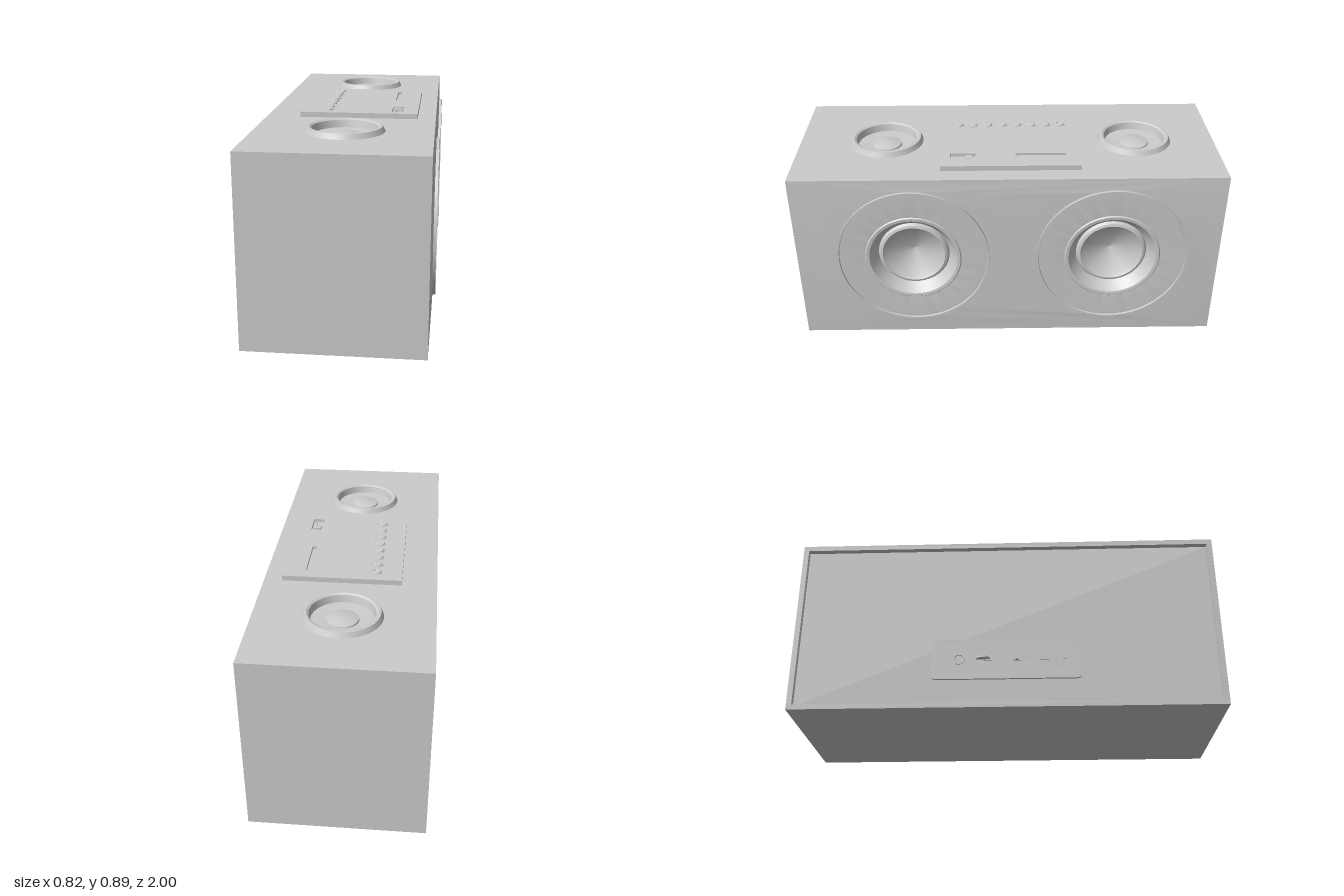
import * as THREE from 'three';
import { toCreasedNormals } from 'three/addons/utils/BufferGeometryUtils.js';

const mat = new THREE.MeshStandardMaterial({ color: 0xcccccc, side: THREE.DoubleSide });

export function createModel() {
  const root = new THREE.Group();

  const add = (name, geo, x = 0, y = 0, z = 0) => {
    const m = new THREE.Mesh(geo, mat);
    m.name = name;
    m.position.set(x, y, z);
    root.add(m);
    return m;
  };
  // Box given by its minimum and maximum corners
  const box = (name, x0, x1, y0, y1, z0, z1) =>
    add(name, new THREE.BoxGeometry(x1 - x0, y1 - y0, z1 - z0), (x0 + x1) / 2, (y0 + y1) / 2, (z0 + z1) / 2);
  const rect = (C, x0, x1, y0, y1) => {
    const s = new C();
    s.moveTo(x0, y0).lineTo(x1, y0).lineTo(x1, y1).lineTo(x0, y1).closePath();
    return s;
  };
  const disc = (x, y, r) => new THREE.Path().absarc(x, y, r, 0, Math.PI * 2, true);
  const lathe = (pts, seg = 48) =>
    toCreasedNormals(new THREE.LatheGeometry(pts.map(p => new THREE.Vector2(...p)), seg), 0.45);
  // Flat plate facing up, drawn in (x, -z)
  const flatPlate = (shape, depth) => {
    const g = new THREE.ExtrudeGeometry(shape, { depth, bevelEnabled: false, curveSegments: 24 });
    return g.rotateX(-Math.PI / 2);
  };

  // Cabinet walls
  const tweeterZ = [-0.615, 0.585];
  const wooferZ = [0.45, -0.49];
  const wooferY = 0.446;
  const T = 0.025, H = 0.862, B = -0.4, F = 0.389;
  box('bottomPanel', B, F, 0, T, -1, 1);
  for (const s of [-1, 1]) {
    const m = box('endPanel', B, F, T, H - T, 1 - T, 1);
    m.position.z *= s;
  }
  const top = rect(THREE.Shape, B, F, -1, 1);
  tweeterZ.forEach(z => top.holes.push(disc(0, -z, 0.16)));
  add('topPanel', flatPlate(top, T), 0, H - T, 0);
  box('backPanel', -0.372, -0.35, T, H - T, -1 + T, 1 - T);

  // Front baffle, swelling slightly towards the driver openings
  const front = rect(THREE.Shape, -1, 1, 0, H);
  wooferZ.forEach(z => front.holes.push(disc(-z, wooferY, 0.357)));
  const baffle = new THREE.ShapeGeometry(front, 24);
  const p = baffle.attributes.position;
  for (let i = 0; i < p.count; i++) {
    const onEdge = Math.abs(p.getX(i)) > 0.99 || p.getY(i) < 0.01 || p.getY(i) > H - 0.01;
    p.setZ(i, onEdge ? F : 0.397);
  }
  baffle.computeVertexNormals();
  add('frontBaffle', baffle.rotateY(Math.PI / 2));

  // Main drivers: outer trim ring, funnel, surround and cone
  const wooferProfile = [
    [0.36, 0.38], [0.36, 0.41], [0.35, 0.41], [0.348, 0.402], [0.227, 0.402], [0.222, 0.407],
    [0.207, 0.405], [0.2, 0.395], [0.168, 0.355], [0.16, 0.368], [0.148, 0.372], [0.136, 0.362], [0, 0.31],
  ];
  for (const z of wooferZ)
    add('woofer', lathe(wooferProfile, 64).rotateZ(-Math.PI / 2), 0, wooferY, z);

  // Small drivers sunk into the top
  const tweeterProfile = [
    [0.178, 0.86], [0.166, 0.885], [0.155, 0.886], [0.145, 0.88], [0.138, 0.847],
    [0.072, 0.843], [0.07, 0.85], [0.04, 0.858], [0, 0.861],
  ];
  for (const z of tweeterZ) add('tweeter', lathe(tweeterProfile), 0, 0, z);

  // Control panel with slider slot and switch opening
  const panel = rect(THREE.Shape, -0.24, 0.305, -0.312, 0.335);
  panel.holes.push(rect(THREE.Path, 0.184, 0.204, 0.035, 0.27));
  panel.holes.push(rect(THREE.Path, 0.182, 0.236, -0.27, -0.152));
  add('controlPanel', flatPlate(panel, 0.025), 0, 0.861, 0);
  box('slotFloor', 0.184, 0.204, 0.86, 0.872, -0.27, -0.035);
  box('switchFloor', 0.182, 0.236, 0.86, 0.87, 0.152, 0.27);
  box('switchLever', 0.192, 0.228, 0.868, 0.884, 0.17, 0.2);
  box('switchTrack', 0.215, 0.228, 0.868, 0.88, 0.2, 0.25);

  // Row of push buttons, the first with a centre dimple
  const button = [[0.031, 0.884], [0.031, 0.887], [0.025, 0.887], [0.024, 0.885], [0.022, 0.891], [0.018, 0.893], [0, 0.893]];
  const dimpled = [...button.slice(0, 6), [0.014, 0.893], [0.011, 0.887], [0, 0.887]];
  for (let i = 0; i < 8; i++)
    add('button', lathe(i ? button : dimpled, 20), -0.12, 0, -0.26 + i * 0.0715);

  // Rounded connector plate on the recessed back
  const w = 0.345, h = 0.1, r = 0.02;
  const plate = new THREE.Shape();
  plate.moveTo(-w + r, -h).lineTo(w - r, -h).quadraticCurveTo(w, -h, w, -h + r)
    .lineTo(w, h - r).quadraticCurveTo(w, h, w - r, h)
    .lineTo(-w + r, h).quadraticCurveTo(-w, h, -w, h - r)
    .lineTo(-w, -h + r).quadraticCurveTo(-w, -h, -w + r, -h);
  const plateGeo = new THREE.ExtrudeGeometry(plate, { depth: 0.012, bevelEnabled: false, curveSegments: 5 });
  add('connectorPlate', plateGeo.rotateY(-Math.PI / 2), -0.371, 0.246, 0);

  // Jack, thumb wheel, toggle and sockets
  const jack = lathe([[0.028, 0.38], [0.028, 0.388], [0.02, 0.388], [0.018, 0.384], [0, 0.384]], 24);
  add('jackSocket', jack.rotateZ(Math.PI / 2), 0, 0.246, -0.22);
  add('thumbWheel', new THREE.CylinderGeometry(0.035, 0.035, 0.008, 32), -0.377, 0.246, -0.11);
  box('wheelSlot', -0.386, -0.38, 0.237, 0.255, -0.155, -0.065);
  box('toggleSwitch', -0.387, -0.38, 0.232, 0.26, 0.03, 0.07);
  box('toggleLever', -0.403, -0.385, 0.236, 0.256, 0.042, 0.056);
  box('dataSocket', -0.386, -0.38, 0.236, 0.256, 0.09, 0.115);
  box('wideSocket', -0.386, -0.38, 0.238, 0.254, 0.14, 0.2);
  add('indicatorLight', new THREE.CylinderGeometry(0.008, 0.008, 0.008, 16).rotateZ(Math.PI / 2), -0.384, 0.246, 0.27);

  return root;
}
